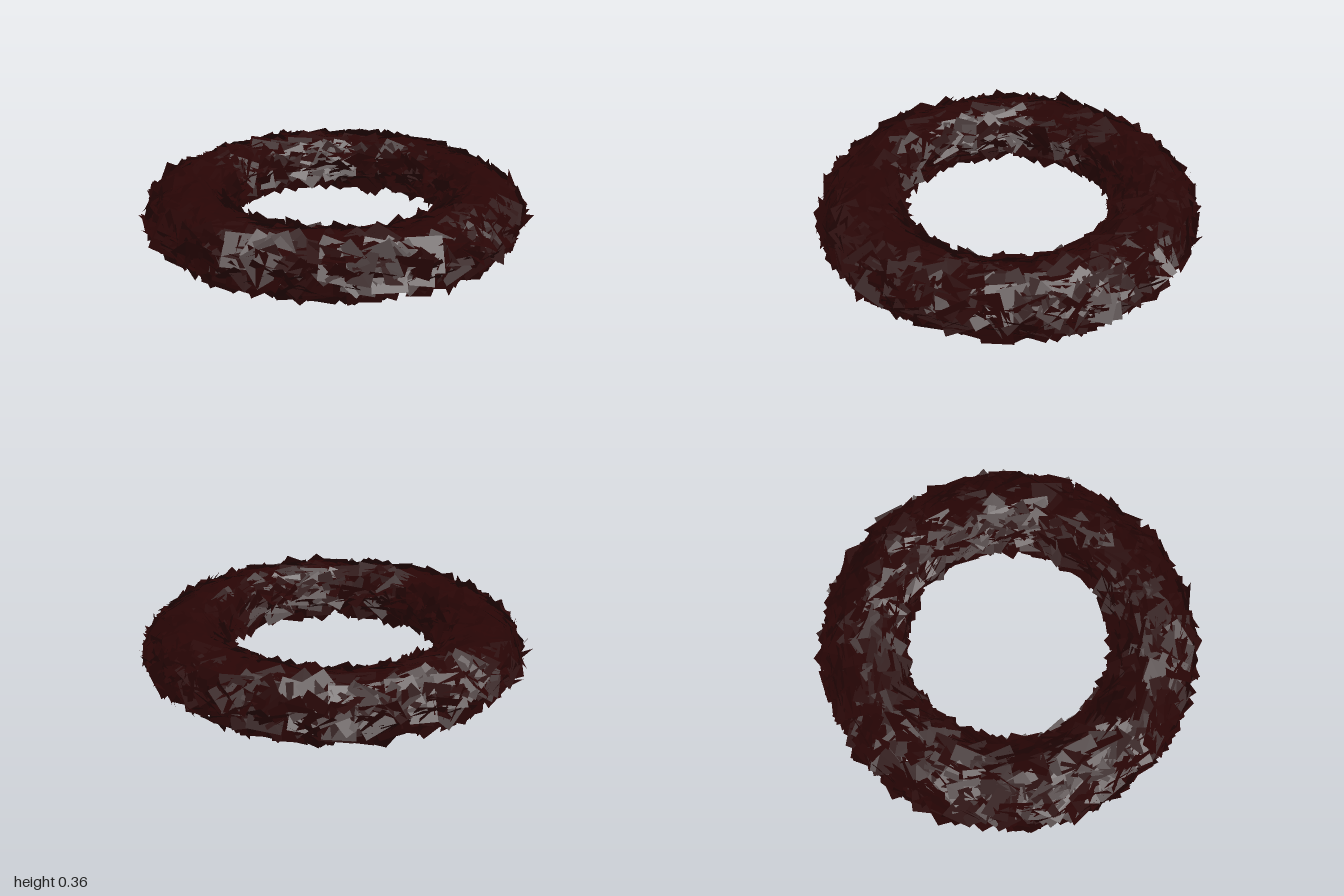
import * as THREE from 'three';
import { mergeGeometries } from 'three/addons/utils/BufferGeometryUtils.js';

// Small seeded generator so the foliage is always the same
function seeded(seed) {
  return () => {
    seed = (seed * 1664525 + 1013904223) % 4294967296;
    return seed / 4294967296;
  };
}

const RING = 0.74;    // radius of the wreath's centre line
const HALF_W = 0.195; // half width of the cross-section
const HALF_H = 0.135; // half height of the cross-section
const MID_Y = 0.187;  // height of the centre line

// Square leaves lying roughly on the ring's surface, between two section
// angles (0 = outward, 90 = top, 180 = inward), open along the underside
function leafBand(name, count, from, to, seed, material) {
  const rand = seeded(seed);
  const spread = (a) => (rand() * 2 - 1) * a;
  const leaves = [];
  const normal = new THREE.Vector3(), along = new THREE.Vector3(), side = new THREE.Vector3();
  const m = new THREE.Matrix4(), tilt = new THREE.Matrix4();
  for (let i = 0; i < count; i++) {
    const u = ((i + rand()) / count) * Math.PI * 2;
    const v = THREE.MathUtils.degToRad(from + (to - from) * rand());
    const c = Math.cos(u), s = Math.sin(u);
    const depth = 0.86 + rand() * 0.14;
    const r = RING + HALF_W * depth * Math.cos(v);
    normal.set(c * Math.cos(v) / HALF_W, Math.sin(v) / HALF_H, s * Math.cos(v) / HALF_W).normalize();
    along.set(-s, 0, c);
    side.crossVectors(normal, along);
    m.makeBasis(along, side, normal);
    m.setPosition(c * r, MID_Y + HALF_H * depth * Math.sin(v), s * r);
    // Leaves lie flat on the crown and ruffle more on the flanks
    const ruffle = 0.16 + 0.24 * Math.abs(Math.cos(v));
    tilt.makeRotationFromEuler(new THREE.Euler(spread(ruffle), spread(ruffle), rand() * Math.PI * 2));
    const size = 0.13 + rand() * 0.04;
    leaves.push(new THREE.PlaneGeometry(size, size).applyMatrix4(m.multiply(tilt)));
  }
  const mesh = new THREE.Mesh(mergeGeometries(leaves), material);
  mesh.name = name;
  return mesh;
}

export function createModel() {
  const material = new THREE.MeshStandardMaterial({ color: 0x280505, side: THREE.DoubleSide });
  const wreath = new THREE.Group();
  wreath.name = 'wreath';
  wreath.add(
    leafBand('outerLeaves', 480, -40, 45, 11, material),
    leafBand('topLeaves', 420, 40, 140, 23, material),
    leafBand('innerLeaves', 320, 135, 215, 37, material),
  );
  return wreath;
}
